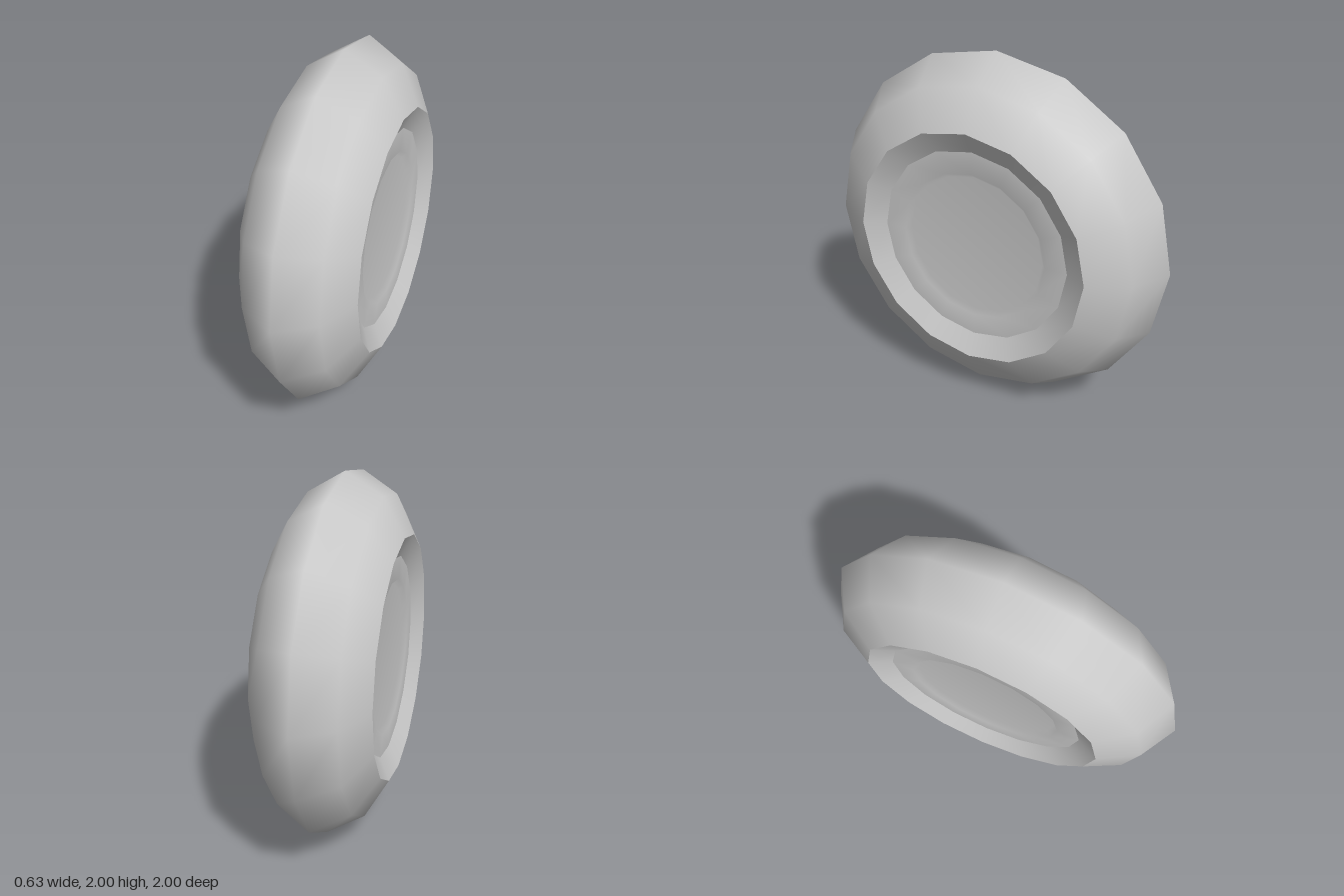
import * as THREE from 'three';

const SIDES = 16;
const material = new THREE.MeshStandardMaterial({ color: 0xcccccc });

// Turned part with its axle along x; profile points are [radius, x]
function turned(name, profile) {
  const points = profile.map(([r, x]) => new THREE.Vector2(r, x));
  const geometry = new THREE.LatheGeometry(points, SIDES);
  geometry.rotateZ(-Math.PI / 2);
  const mesh = new THREE.Mesh(geometry, material);
  mesh.name = name;
  return mesh;
}

export function createModel() {
  const wheel = new THREE.Group();
  wheel.name = 'wheel';

  // Rounded tyre
  wheel.add(turned('tyre', [[0.67, -0.315], [0.88, -0.2], [1, 0], [0.88, 0.2], [0.67, 0.315]]));

  // Sloping rim and shallow dished hub on each side
  for (const [side, angle] of [['left', 0], ['right', Math.PI]]) {
    const face = new THREE.Group();
    face.name = side + 'Face';
    face.add(turned('rim', [[0.67, 0.315], [0.55, 0.255]]));
    face.add(turned('hub', [[0.55, 0.255], [0.425, 0.255], [0.4, 0.23], [0, 0.23]]));
    face.rotation.y = angle;
    wheel.add(face);
  }

  wheel.position.y = 1;
  const model = new THREE.Group();
  model.name = 'wheelModel';
  model.add(wheel);
  return model;
}
